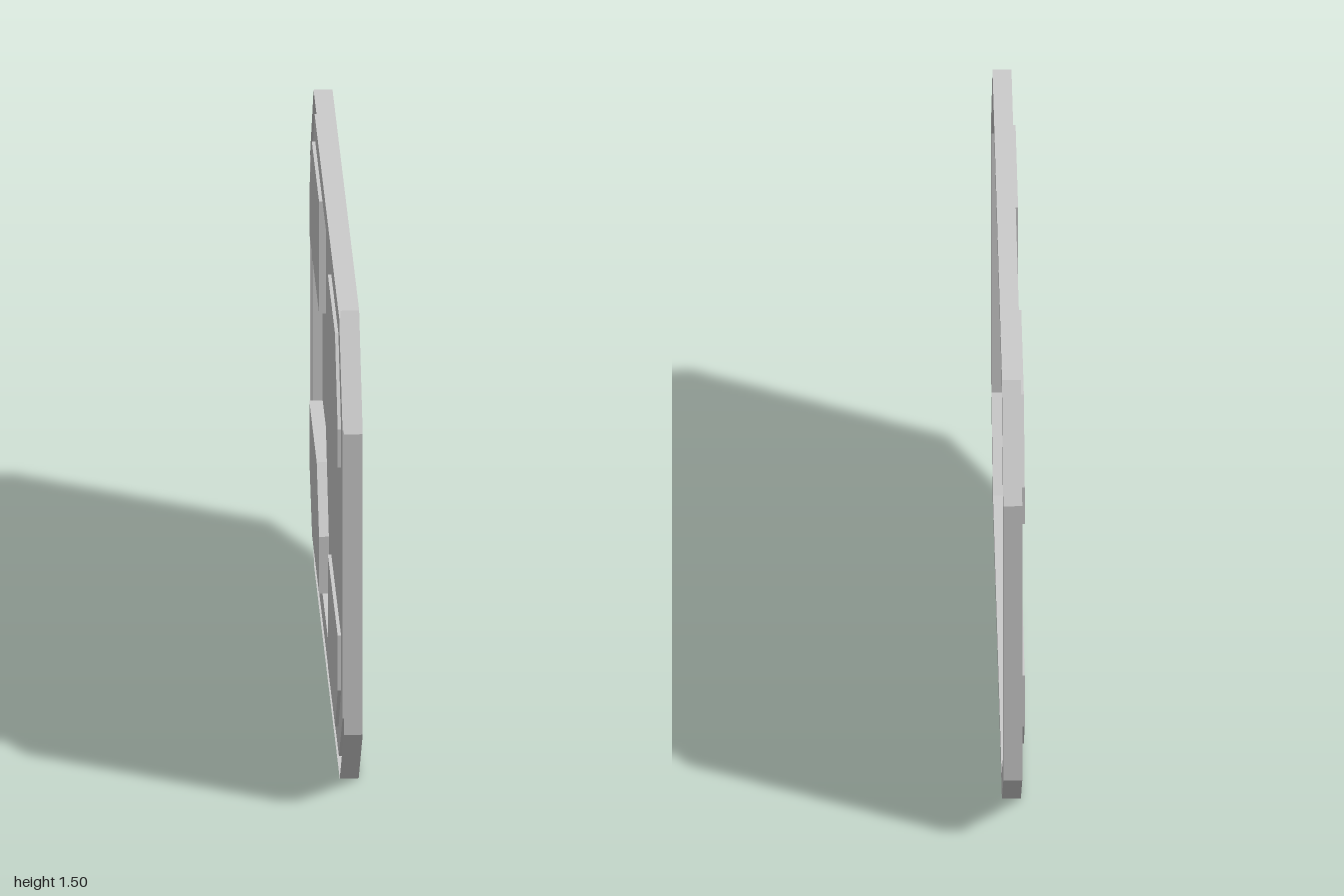
import * as THREE from 'three';

// Depth levels of the pressed sheet along x
const RIM = 0.032, RAISED = 0.006, PANEL = -0.023, POCKET = -0.033;

// Outlines as [z, y] corners
const outer = [[0.79, 1.5], [-0.79, 1.5], [-1, 1.2], [-1, 0.23], [-0.76, 0], [0.76, 0], [1, 0.245], [1, 1.2]];
const inner = [[0.73, 1.45], [-0.73, 1.45], [-0.92, 1.18], [-0.92, 0.25], [-0.71, 0.05], [0.71, 0.05], [0.925, 0.265], [0.925, 1.18]];
const pockets = {
  upperFrontPocket: [[0.68, 1.38], [0.26, 1.38], [0.26, 1.11], [0.45, 1.025], [0.84, 1.025], [0.84, 1.145]],
  lowerFrontPocket: [[0.84, 0.49], [0.26, 0.49], [0.26, 0.135], [0.69, 0.135], [0.84, 0.315]],
  upperBackPocket: [[-0.26, 1.38], [-0.69, 1.38], [-0.84, 1.155], [-0.84, 1.025], [-0.26, 1.025]],
  lowerBackPocket: [[-0.4, 0.49], [-0.84, 0.49], [-0.84, 0.31], [-0.675, 0.135], [-0.26, 0.135], [-0.26, 0.315]],
};
const raised = [[-0.045, 1.38], [-0.26, 1.38], [-0.26, 1.025], [-0.84, 1.025], [-0.84, 0.49], [-0.4, 0.49],
  [-0.26, 0.315], [-0.26, 0.135], [0.11, 0.135], [0.11, 0.49], [-0.045, 0.73]];
// Raised field together with the two pockets that adjoin it
const backOpening = [[-0.045, 1.38], [-0.69, 1.38], [-0.84, 1.155], [-0.84, 0.31], [-0.675, 0.135],
  [0.11, 0.135], [0.11, 0.49], [-0.045, 0.73]];

const material = new THREE.MeshStandardMaterial({ color: 0xcccccc, side: THREE.DoubleSide, flatShading: true });

const toPoints = (outline) => outline.map(([z, y]) => new THREE.Vector2(-z, y));

// Flat sheet facing +x at the given depth
function sheet(name, outline, x, holes = []) {
  const shape = new THREE.Shape(toPoints(outline));
  shape.holes = holes.map((h) => new THREE.Path(toPoints(h)));
  const geometry = new THREE.ShapeGeometry(shape).rotateY(Math.PI / 2).translate(x, 0, 0);
  const mesh = new THREE.Mesh(geometry, material);
  mesh.name = name;
  return mesh;
}

// Wall that follows an outline between two depths
function wall(name, outline, x0, x1) {
  const positions = [];
  outline.forEach(([z, y], i) => {
    const [z2, y2] = outline[(i + 1) % outline.length];
    positions.push(x0, y, z, x0, y2, z2, x1, y2, z2, x0, y, z, x1, y2, z2, x1, y, z);
  });
  const geometry = new THREE.BufferGeometry();
  geometry.setAttribute('position', new THREE.Float32BufferAttribute(positions, 3));
  geometry.computeVertexNormals();
  const mesh = new THREE.Mesh(geometry, material);
  mesh.name = name;
  return mesh;
}

export function createModel() {
  const group = new THREE.Group();
  group.name = 'pressedPanel';

  // Rim: channel open towards -x
  group.add(
    sheet('rimFace', outer, RIM, [inner]),
    wall('rimOuterWall', [...outer].reverse(), PANEL, RIM),
    wall('rimInnerWall', inner, PANEL, RIM),
  );

  // Recessed panel and the raised field
  group.add(
    sheet('panel', inner, PANEL, [pockets.upperFrontPocket, pockets.lowerFrontPocket, backOpening]),
    sheet('raisedField', raised, RAISED),
    wall('raisedFieldWall', [...raised].reverse(), PANEL, RAISED),
  );

  // Corner pockets pressed a little deeper
  for (const [name, outline] of Object.entries(pockets)) {
    group.add(sheet(name, outline, POCKET), wall(name + 'Wall', outline, POCKET, PANEL));
  }
  return group;
}
